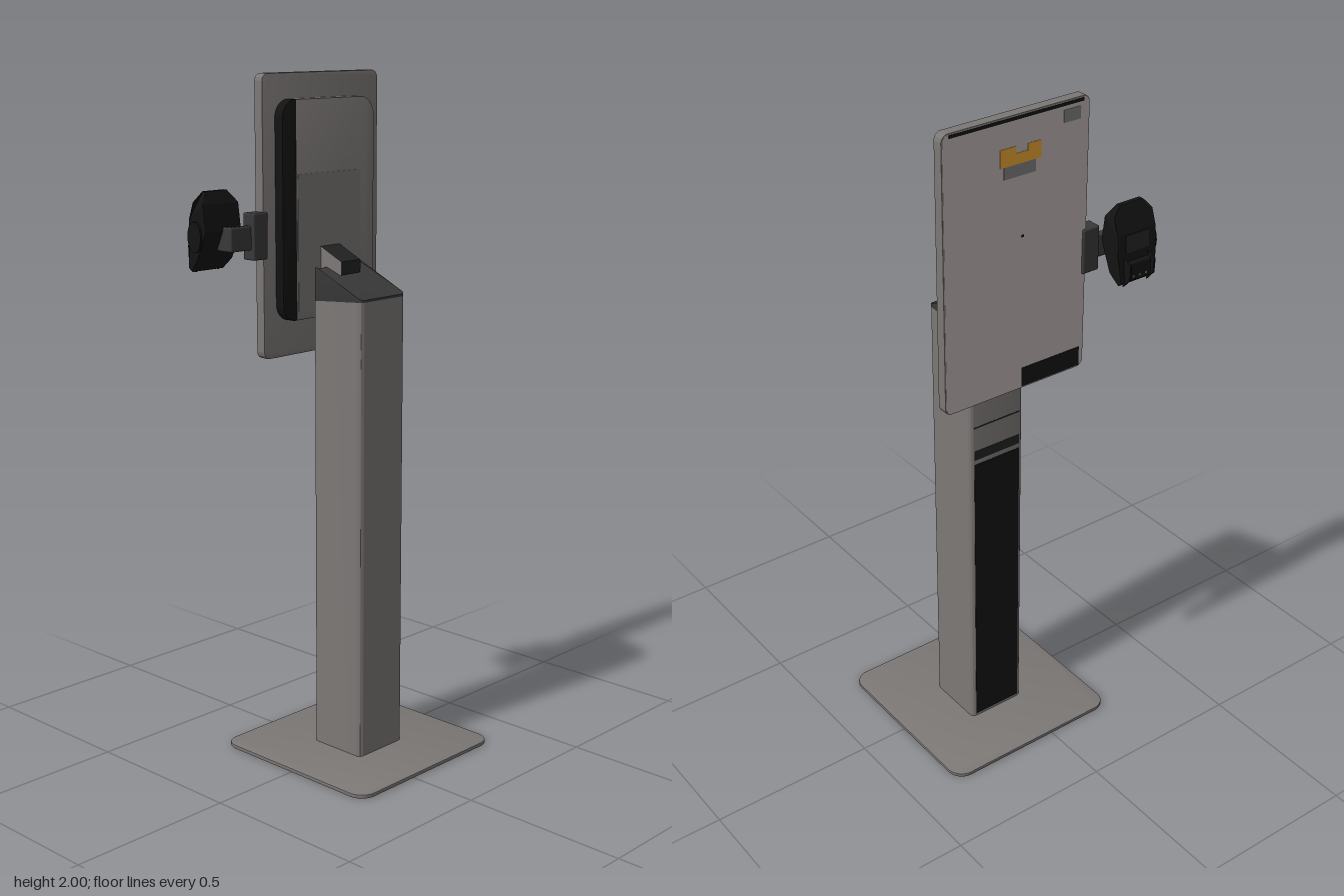
import * as THREE from 'three';
import { toCreasedNormals } from 'three/addons/utils/BufferGeometryUtils.js';
import { RoundedBoxGeometry } from 'three/addons/geometries/RoundedBoxGeometry.js';

const mat = (name, color) => {
  const m = new THREE.MeshStandardMaterial({ color });
  m.name = name;
  return m;
};

// Rectangle between two corners, with separate radii for its left and right corners
function roundedRect(x0, y0, x1, y1, rl, rr = rl) {
  const s = new THREE.Shape();
  s.moveTo(x0 + rl, y0);
  s.lineTo(x1 - rr, y0);
  if (rr) s.absarc(x1 - rr, y0 + rr, rr, -Math.PI / 2, 0);
  s.lineTo(x1, y1 - rr);
  if (rr) s.absarc(x1 - rr, y1 - rr, rr, 0, Math.PI / 2);
  s.lineTo(x0 + rl, y1);
  if (rl) s.absarc(x0 + rl, y1 - rl, rl, Math.PI / 2, Math.PI);
  s.lineTo(x0, y0 + rl);
  if (rl) s.absarc(x0 + rl, y0 + rl, rl, Math.PI, Math.PI * 1.5);
  return s;
}

const polygon = (points) => new THREE.Shape(points.map(([x, y]) => new THREE.Vector2(x, y)));

// Extrusion whose bevel stays inside the outline and the depth
function extrude(shape, depth, bevel = 0) {
  const g = new THREE.ExtrudeGeometry(shape, {
    depth: depth - 2 * bevel, curveSegments: 8, bevelEnabled: bevel > 0,
    bevelThickness: bevel, bevelSize: bevel, bevelOffset: -bevel, bevelSegments: 2,
  });
  return g.translate(0, 0, bevel);
}

const smooth = (g) => toCreasedNormals(g, 0.6);

// Slab across x; outline is given as (-z, y)
const slabX = (shape, x0, x1, bevel) =>
  smooth(extrude(shape, x1 - x0, bevel).rotateY(Math.PI / 2).translate(x0, 0, 0));

// Upright prism; outline is given as (x, -z), heights as functions of x
function prismY(shape, bottom, top) {
  const g = extrude(shape, 1).rotateX(-Math.PI / 2);
  const p = g.attributes.position;
  for (let i = 0; i < p.count; i++) {
    const x = p.getX(i);
    p.setY(i, p.getY(i) > 0.5 ? top(x) : bottom(x));
  }
  g.computeVertexNormals();
  return smooth(g);
}

export function createModel() {
  const model = new THREE.Group();
  const grey = mat('warm grey metal', 0x7c7876);
  const paleGrey = mat('pale display grey', 0xb8aeae);
  const charcoal = mat('charcoal plastic', 0x393939);
  const dark = mat('dark plastic', 0x222222);
  const black = mat('black plastic', 0x131313);
  const orange = mat('orange', 0xe2a02e);
  const slate = mat('slate', 0x7c7c7c);

  const add = (name, geometry, material, parent = model) => {
    const m = new THREE.Mesh(geometry, material);
    m.name = name;
    parent.add(m);
    return m;
  };
  const box = (name, x0, x1, y0, y1, z0, z1, material, r = 0, parent = model) => {
    const d = [x1 - x0, y1 - y0, z1 - z0];
    const g = r ? new RoundedBoxGeometry(...d, 2, r) : new THREE.BoxGeometry(...d);
    return add(name, g.translate((x0 + x1) / 2, (y0 + y1) / 2, (z0 + z1) / 2), material, parent);
  };

  // Foot plate
  add('basePlate', smooth(extrude(roundedRect(-0.287, -0.22, 0.287, 0.356, 0.05), 0.012, 0.003)
    .rotateX(-Math.PI / 2)), grey);

  // Column with a sloping top and a wedge cap
  const outline = roundedRect(-0.094, -0.025, 0.094, 0.161, 0.015);
  const seam = (x) => Math.min(1.36 + (x + 0.094) * 0.14, 1.374);
  const capTop = (x) => (x < -0.078 ? 1.46 + (x + 0.078) * 0.6 : 1.46 - (x + 0.078) * 0.46);
  add('column', prismY(outline, () => 0.01, seam), grey);
  add('columnCap', prismY(outline, seam, capTop), charcoal);

  // Service cover on the user side of the column
  box('columnCover', -0.0948, -0.092, 0.02, 0.94, -0.147, 0.011, black);
  box('coverLatch', -0.0948, -0.092, 0.955, 0.985, -0.147, 0.011, dark);
  box('coverSeam', -0.0948, -0.092, 1.06, 1.064, -0.147, 0.011, dark);

  // Neck joining cap and screen
  const neck = polygon([[-0.12, 1.395], [-0.07, 1.42], [-0.033, 1.435], [-0.033, 1.472], [-0.12, 1.512]]);
  add('neck', extrude(neck, 0.078).translate(0, 0, -0.108), [grey, dark]);

  // Screen, facing -x, with a pale display sheet
  add('screenPanel', slabX(roundedRect(-0.166, 1.2, 0.303, 2, 0.022), -0.18, -0.148, 0.003), grey);
  add('displaySheet', slabX(roundedRect(-0.163, 1.203, 0.3, 1.997, 0.02), -0.181, -0.179, 0), paleGrey);

  // Rear housing: grey shell, black end strip and a shallow lower cover
  add('rearHousing', slabX(roundedRect(-0.065, 1.305, 0.255, 1.928, 0, 0.055), -0.149, -0.117, 0.003), grey);
  add('rearHousingEdge', slabX(roundedRect(-0.119, 1.305, -0.064, 1.928, 0.05, 0), -0.149, -0.117, 0.003), black);
  add('rearCover', slabX(roundedRect(-0.06, 1.33, 0.195, 1.72, 0, 0.01), -0.118, -0.1155, 0), grey);

  // Flat artwork on the display
  const display = new THREE.Group();
  display.name = 'displayArtwork';
  model.add(display);
  const plate = (name, y0, y1, z0, z1, material) =>
    box(name, -0.1822, -0.18, y0, y1, z0, z1, material, 0, display);
  plate('topBorder', 1.986, 1.995, -0.28, 0.145, black);
  plate('bottomBanner', 1.206, 1.264, -0.05, 0.15, black);
  plate('orangePatchLow', 1.866, 1.896, -0.123, 0.007, orange);
  plate('orangePatchLeft', 1.896, 1.916, -0.123, -0.075, orange);
  plate('orangePatchRight', 1.896, 1.914, -0.035, 0.007, orange);
  plate('slatePatch', 1.832, 1.866, -0.112, -0.01, slate);
  plate('cornerPatch', 1.94, 1.975, 0.08, 0.135, slate);
  plate('centreDot', 1.657, 1.663, -0.053, -0.047, black);

  // Side bracket and elbow arm for the card terminal
  box('sideBracket', -0.188, -0.143, 1.488, 1.62, 0.152, 0.207, charcoal, 0.005);
  box('bracketArm', -0.176, -0.154, 1.517, 1.585, 0.2, 0.283, charcoal, 0.005);
  box('bracketElbow', -0.215, -0.156, 1.517, 1.585, 0.26, 0.283, charcoal, 0.005);

  // Card terminal: leaning body with a narrowed top
  const terminal = new THREE.Group();
  terminal.name = 'cardTerminal';
  model.add(terminal);
  const profile = polygon([
    [-0.215, 1.684], [-0.197, 1.65], [-0.187, 1.575], [-0.225, 1.49], [-0.255, 1.46],
    [-0.268, 1.47], [-0.262, 1.545], [-0.256, 1.61], [-0.24, 1.655], [-0.229, 1.684],
  ]);
  const body = extrude(profile, 0.134, 0.004).translate(0, 0, 0.213);
  const p = body.attributes.position;
  for (let i = 0; i < p.count; i++) {
    const y = p.getY(i);
    const s = y > 1.66 ? 0.62 : y < 1.48 ? 0.9 : 1;
    p.setZ(i, 0.28 + (p.getZ(i) - 0.28) * s);
  }
  body.computeVertexNormals();
  add('terminalBody', body, black, terminal);

  // Keypad shield: a raised tray with two flared cheeks
  box('keypadShield', -0.278, -0.25, 1.475, 1.53, 0.232, 0.322, black, 0.006, terminal);
  const cheek = polygon([[-0.288, 1.487], [-0.29, 1.53], [-0.255, 1.545], [-0.262, 1.457]]);
  for (const z of [0.235, 0.318])
    add('shieldCheek', extrude(cheek, 0.006).translate(0, 0, z - 0.003), black, terminal);

  // Pale key marks on the shield
  for (const z of [0.255, 0.277, 0.299])
    box('keyMark', -0.2785, -0.277, 1.486, 1.492, z - 0.003, z + 0.003, slate, 0, terminal);

  // Small display and round side button on the terminal
  const face = box('terminalDisplay', -0.002, 0.002, -0.025, 0.025, -0.04, 0.04, dark, 0, terminal);
  face.position.set(-0.2585, 1.58, 0.28);
  face.rotation.z = -0.09;
  const button = add('sideButton', new THREE.CylinderGeometry(0.027, 0.027, 0.008, 20).rotateX(Math.PI / 2), black, terminal);
  button.scale.y = 1.6;
  button.position.set(-0.229, 1.56, 0.349);

  return model;
}
